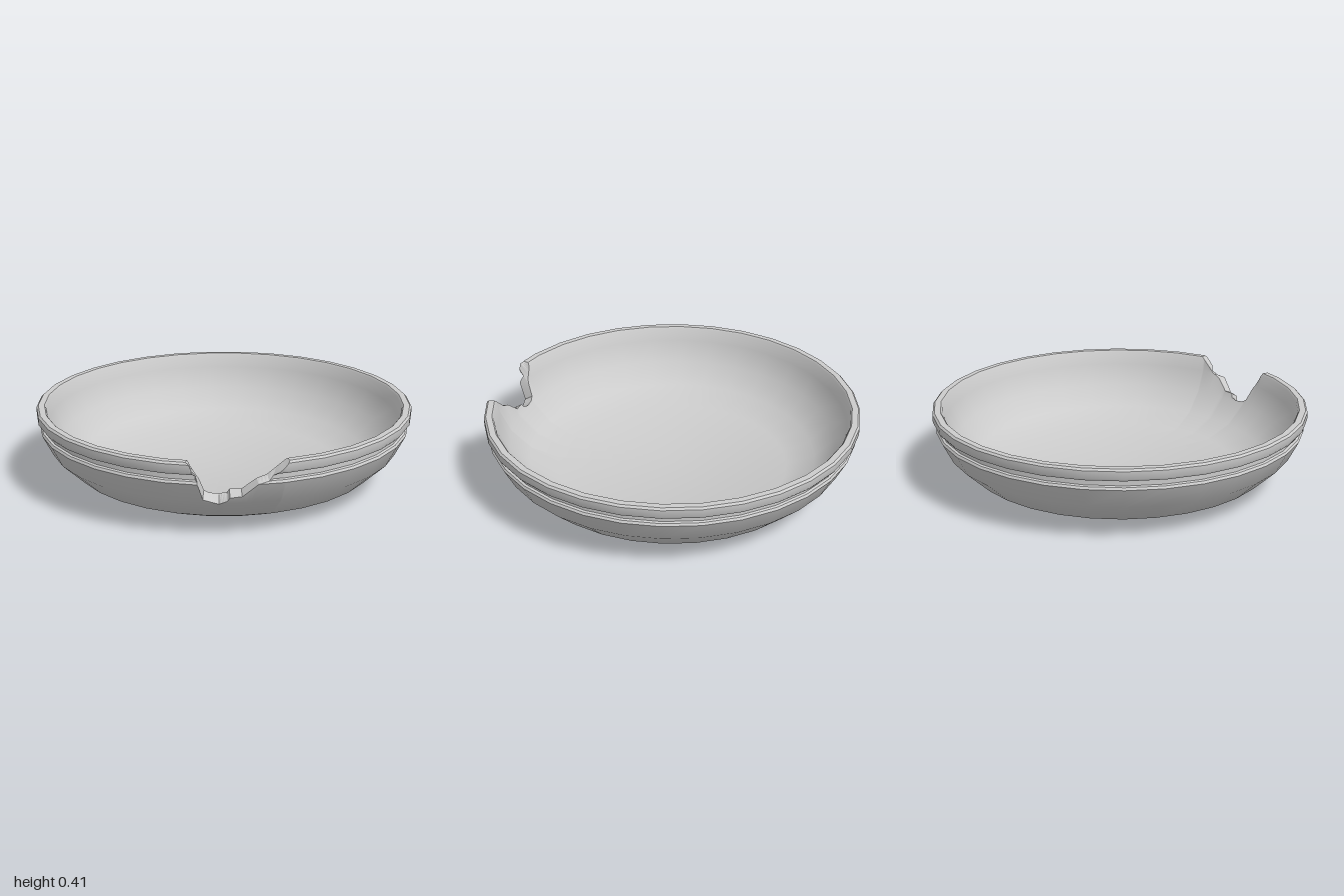
import * as THREE from 'three';
import { toCreasedNormals } from 'three/addons/utils/BufferGeometryUtils.js';

const SIDES = 32;
const STEP = 360 / SIDES;

// wall profiles [radius, height], both listed from bottom to rim
const OUTER = [[0, 0], [0.64, 0], [0.81, 0.075], [0.93, 0.19], [0.985, 0.3], [0.978, 0.312],
  [0.966, 0.316], [0.966, 0.345], [0.992, 0.35], [1, 0.362], [1, 0.4], [0.99, 0.41]];
const INNER = [[0, 0.05], [0.625, 0.05], [0.775, 0.11], [0.88, 0.215], [0.935, 0.33],
  [0.95, 0.4], [0.958, 0.41]];

// broken edge [angle from the front in degrees, outer height, inner height]
const CHIP = [[17.6, 0.41, 0.41], [18.6, 0.4, 0.37], [20.7, 0.31, 0.31], [21.9, 0.21, 0.24],
  [23.5, 0.2, 0.225], [26.5, 0.18, 0.22], [29, 0.2, 0.23], [29.7, 0.22, 0.25], [33.2, 0.23, 0.25],
  [37.5, 0.3, 0.31], [40.5, 0.31, 0.33], [44.6, 0.38, 0.39], [46, 0.41, 0.41]];
const CHIP_END = CHIP[CHIP.length - 1][0];

// height of the broken edge at an angle; col 1 = outer wall, 2 = inner wall
function chipHeight(deg, col) {
  for (let i = 0; i < CHIP.length - 1; i++) {
    const a = CHIP[i], b = CHIP[i + 1];
    if (deg >= a[0] && deg <= b[0]) {
      return THREE.MathUtils.lerp(a[col], b[col], (deg - a[0]) / (b[0] - a[0]));
    }
  }
  return 0.41;
}

// pull every profile point above h down to where the wall meets h
function clip(profile, h) {
  const k = profile.findIndex(p => p[1] > h);
  if (k < 1) return [...profile];
  const [r0, y0] = profile[k - 1], [r1, y1] = profile[k];
  const cut = [THREE.MathUtils.lerp(r0, r1, (h - y0) / (y1 - y0)), h];
  return profile.map((p, i) => (i < k ? p : cut));
}

// one vertical section: up the outside, over the edge, down the inside
function section(deg) {
  const line = [...clip(OUTER, chipHeight(deg, 1)), ...clip(INNER, chipHeight(deg, 2)).reverse()];
  const a = THREE.MathUtils.degToRad(deg);
  const off = THREE.MathUtils.degToRad(deg - (Math.floor(deg / STEP) + 0.5) * STEP);
  const chord = Math.cos(Math.PI / SIDES) / Math.cos(off); // keep flat sides between corners
  return line.map(([r, y]) => new THREE.Vector3(r * chord * Math.sin(a), y, r * chord * Math.cos(a)));
}

function addTriangle(list, a, b, c) {
  const normal = b.clone().sub(a).cross(c.clone().sub(a));
  if (normal.length() < 1e-8) return;
  for (const p of [a, b, c]) list.push(p.x, p.y, p.z);
}

// creases are found at a large scale, so that close corners stay separate
function creased(positions, degrees) {
  const geometry = new THREE.BufferGeometry();
  geometry.setAttribute('position', new THREE.Float32BufferAttribute(positions, 3));
  geometry.scale(100, 100, 100);
  return toCreasedNormals(geometry, THREE.MathUtils.degToRad(degrees)).scale(0.01, 0.01, 0.01);
}

export function createModel() {
  // regular corners plus finer sections along the break
  const angles = [];
  for (let i = 0; i <= SIDES; i++) angles.push(i * STEP);
  for (let i = 0; i < CHIP.length; i++) {
    const next = CHIP[Math.min(i + 1, CHIP.length - 1)][0];
    for (let j = 0; j < 3; j++) angles.push(THREE.MathUtils.lerp(CHIP[i][0], next, j / 3));
  }
  angles.sort((a, b) => a - b);
  const steps = angles.filter((a, i) => i === 0 || a - angles[i - 1] > 0.01);
  const columns = steps.map(section);

  const bowl = [], broken = [];
  for (let i = 0; i < columns.length - 1; i++) {
    const p = columns[i], q = columns[i + 1];
    const mid = (steps[i] + steps[i + 1]) / 2;
    const inChip = mid > CHIP[0][0] && mid < CHIP_END;
    for (let k = 0; k < p.length - 1; k++) {
      const list = inChip && k === OUTER.length - 1 ? broken : bowl;
      addTriangle(list, p[k], q[k], q[k + 1]);
      addTriangle(list, p[k], q[k + 1], p[k + 1]);
    }
  }

  const group = new THREE.Group();
  group.name = 'chippedBowl';
  const material = new THREE.MeshStandardMaterial({ color: 0xcccccc });
  const add = (name, geometry) => {
    const mesh = new THREE.Mesh(geometry, material);
    mesh.name = name;
    group.add(mesh);
  };
  add('bowl', creased(bowl, 38));
  add('brokenEdge', creased(broken, 12));
  return group;
}
